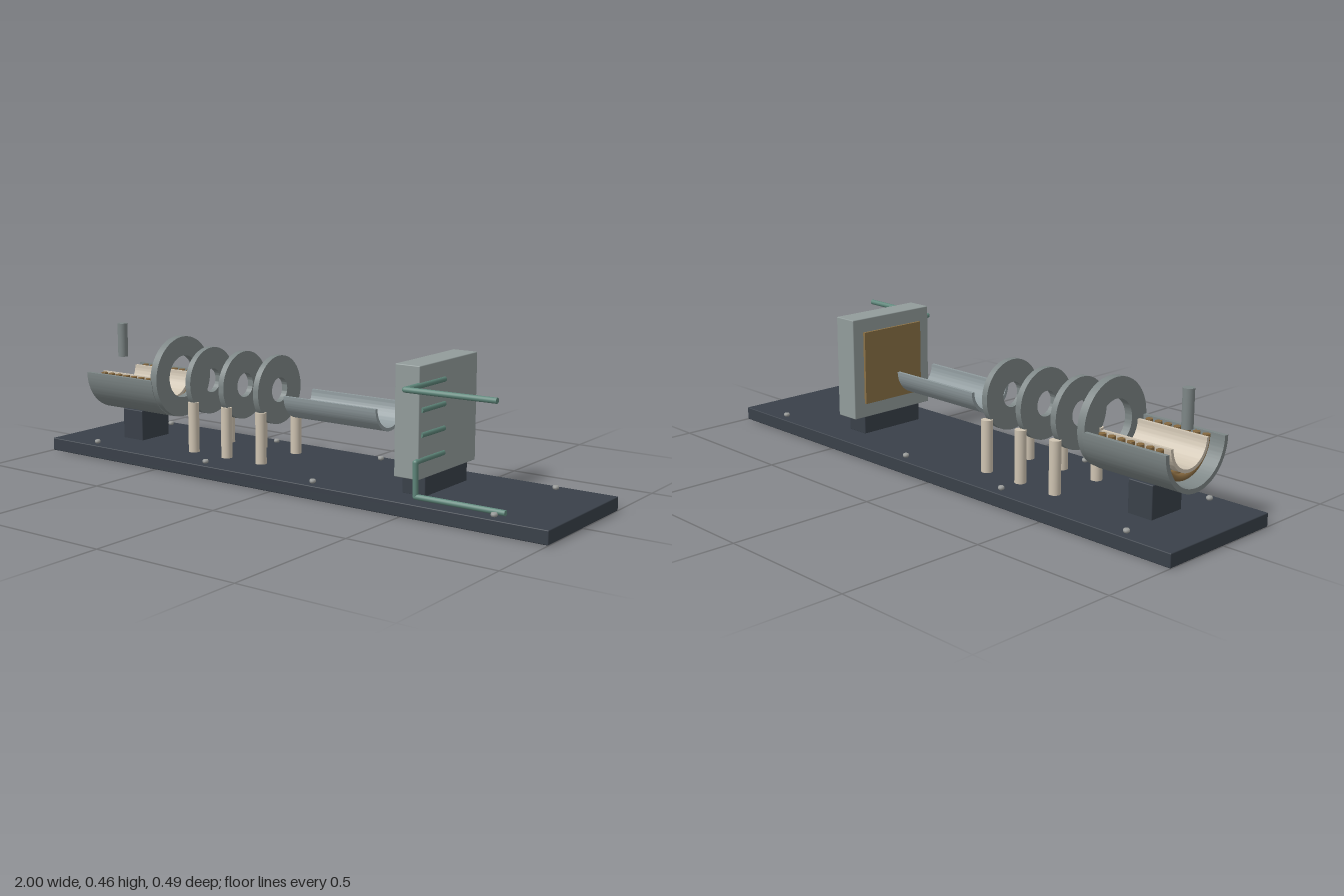
import * as THREE from 'three';
import { mergeGeometries, toCreasedNormals } from 'three/addons/utils/BufferGeometryUtils.js';
import { RoundedBoxGeometry } from 'three/addons/geometries/RoundedBoxGeometry.js';

const AXIS_Y = 0.285, AXIS_Z = -0.012;

const mat = (name, color) => {
  const m = new THREE.MeshStandardMaterial({ color });
  m.name = name;
  return m;
};

// Extrude a profile along +x, starting at x = 0
function alongX(shape, length) {
  const g = new THREE.ExtrudeGeometry(shape, { depth: length, bevelEnabled: false, curveSegments: 40 });
  g.rotateY(Math.PI / 2);
  return toCreasedNormals(g, 0.6);
}

// Lower half of a tube, open at the top
function trough(outer, inner, length) {
  const s = new THREE.Shape();
  s.absarc(0, 0, outer, Math.PI, Math.PI * 2, false);
  s.absarc(0, 0, inner, Math.PI * 2, Math.PI, true);
  s.closePath();
  return alongX(s, length);
}

function disc(outer, inner, length) {
  const s = new THREE.Shape();
  s.absarc(0, 0, outer, 0, Math.PI * 2, false);
  const hole = new THREE.Path();
  hole.absarc(0, 0, inner, 0, Math.PI * 2, true);
  s.holes.push(hole);
  return alongX(s, length);
}

// Half coil winding with capped cut ends
function winding(radius, wire) {
  const parts = [new THREE.TorusGeometry(radius, wire, 10, 32, Math.PI).rotateZ(Math.PI).rotateY(Math.PI / 2)];
  for (const s of [-1, 1])
    parts.push(new THREE.CircleGeometry(wire, 10).rotateX(-Math.PI / 2).translate(0, 0, s * radius));
  return mergeGeometries(parts);
}

// Round pipe through straight runs with ball joints at the bends
function pipe(points, r) {
  const parts = [];
  const v = points.map((p) => new THREE.Vector3(...p));
  for (let i = 0; i < v.length - 1; i++) {
    const d = v[i + 1].clone().sub(v[i]);
    const g = new THREE.CylinderGeometry(r, r, d.length(), 16);
    g.applyQuaternion(new THREE.Quaternion().setFromUnitVectors(new THREE.Vector3(0, 1, 0), d.clone().normalize()));
    const c = v[i].clone().add(v[i + 1]).multiplyScalar(0.5);
    parts.push(g.translate(c.x, c.y, c.z));
    if (i > 0) parts.push(new THREE.SphereGeometry(r, 16, 10).translate(v[i].x, v[i].y, v[i].z));
  }
  return mergeGeometries(parts);
}

export function createModel() {
  const root = new THREE.Group();
  root.name = 'beamBench';
  const dark = mat('darkBase', 0x394049);
  const steel = mat('steel', 0x7d8686);
  const lightMetal = mat('lightMetal', 0x929c9b);
  const tubeMetal = mat('tubeMetal', 0x8f9a9d);
  const ceramic = mat('ceramic', 0xcfc4b2);
  const copper = mat('copper', 0x85683f);
  const sensor = mat('sensorFace', 0x8a7146);
  const teal = mat('tealPipe', 0x5f877b);
  const boltMetal = mat('boltMetal', 0x9a9c9a);

  const add = (name, geo, material, x = 0, y = 0, z = 0) => {
    const m = new THREE.Mesh(geo, material);
    m.name = name;
    m.position.set(x, y, z);
    root.add(m);
    return m;
  };
  const box = (w, h, d, r = 0.003) => new RoundedBoxGeometry(w, h, d, 2, r);

  // Base plate and its bolts
  add('basePlate', box(2, 0.045, 0.462), dark, 0, 0.0225, AXIS_Z);
  const bolt = new THREE.LatheGeometry(
    [[0, 0], [0.008, 0], [0.0105, 0.004], [0.0105, 0.008], [0.008, 0.012], [0, 0.012]]
      .map(([x, y]) => new THREE.Vector2(x, y)), 16);
  for (const x of [-0.81, -0.302, 0.147, 0.805])
    for (const s of [-1, 1]) add('bolt', bolt, boltMetal, x, 0.045, AXIS_Z + s * 0.195);

  // Source: cut-open housing with liner and windings
  add('sourcePedestal', box(0.092, 0.113, 0.14), dark, -0.754, 0.0965, AXIS_Z);
  add('sourceHousing', trough(0.145, 0.13, 0.315), steel, -0.903, AXIS_Y, AXIS_Z);
  add('sourceLiner', trough(0.089, 0.078, 0.262), ceramic, -0.877, AXIS_Y, AXIS_Z);
  const coil = winding(0.108, 0.012);
  for (let i = 0; i < 7; i++) add('coilWinding', coil, copper, -0.852 + i * 0.036, AXIS_Y, AXIS_Z);
  add('sourceFlange', disc(0.143, 0.075, 0.028), steel, -0.595, AXIS_Y, AXIS_Z);
  add('sourcePin', new THREE.CylinderGeometry(0.018, 0.018, 0.122, 24), steel, -0.865, 0.389, AXIS_Z - 0.003);

  // Ring electrodes, each on two insulating posts
  const ring = disc(0.117, 0.042, 0.022);
  const post = new THREE.CylinderGeometry(0.019, 0.019, 0.175, 24);
  for (const x of [-0.445, -0.297, -0.147]) {
    add('ringElectrode', ring, steel, x - 0.011, AXIS_Y, AXIS_Z);
    for (const s of [-1, 1]) add('insulatorPost', post, ceramic, x, 0.1325, AXIS_Z - 0.008 + s * 0.097);
  }

  // Drift tube, cut open
  add('driftTube', trough(0.084, 0.073, 0.366), tubeMetal, -0.055, AXIS_Y, AXIS_Z);

  // Target block on its foot, with sensor plate
  add('targetFoot', box(0.083, 0.064, 0.252), dark, 0.483, 0.075, AXIS_Z);
  add('targetBlock', box(0.088, 0.352, 0.342), lightMetal, 0.483, 0.281, AXIS_Z);
  add('sensorPlate', new THREE.BoxGeometry(0.009, 0.254, 0.254), sensor, 0.4345, 0.282, AXIS_Z);

  // Cooling channels on the back of the target, and the feed pipes
  const channel = new THREE.CylinderGeometry(0.009, 0.009, 0.134, 16).rotateX(Math.PI / 2);
  for (const y of [0.397, 0.32, 0.243, 0.165]) add('coolingChannel', channel, teal, 0.524, y, 0.078);
  add('upperPipe', pipe([[0.524, 0.397, 0.14], [0.524, 0.397, 0.234], [0.834, 0.4, 0.234]], 0.009), teal);
  add('lowerPipe', pipe([[0.524, 0.165, 0.14], [0.524, 0.163, 0.17], [0.524, 0.056, 0.167], [0.834, 0.056, 0.167]], 0.009), teal);

  return root;
}
